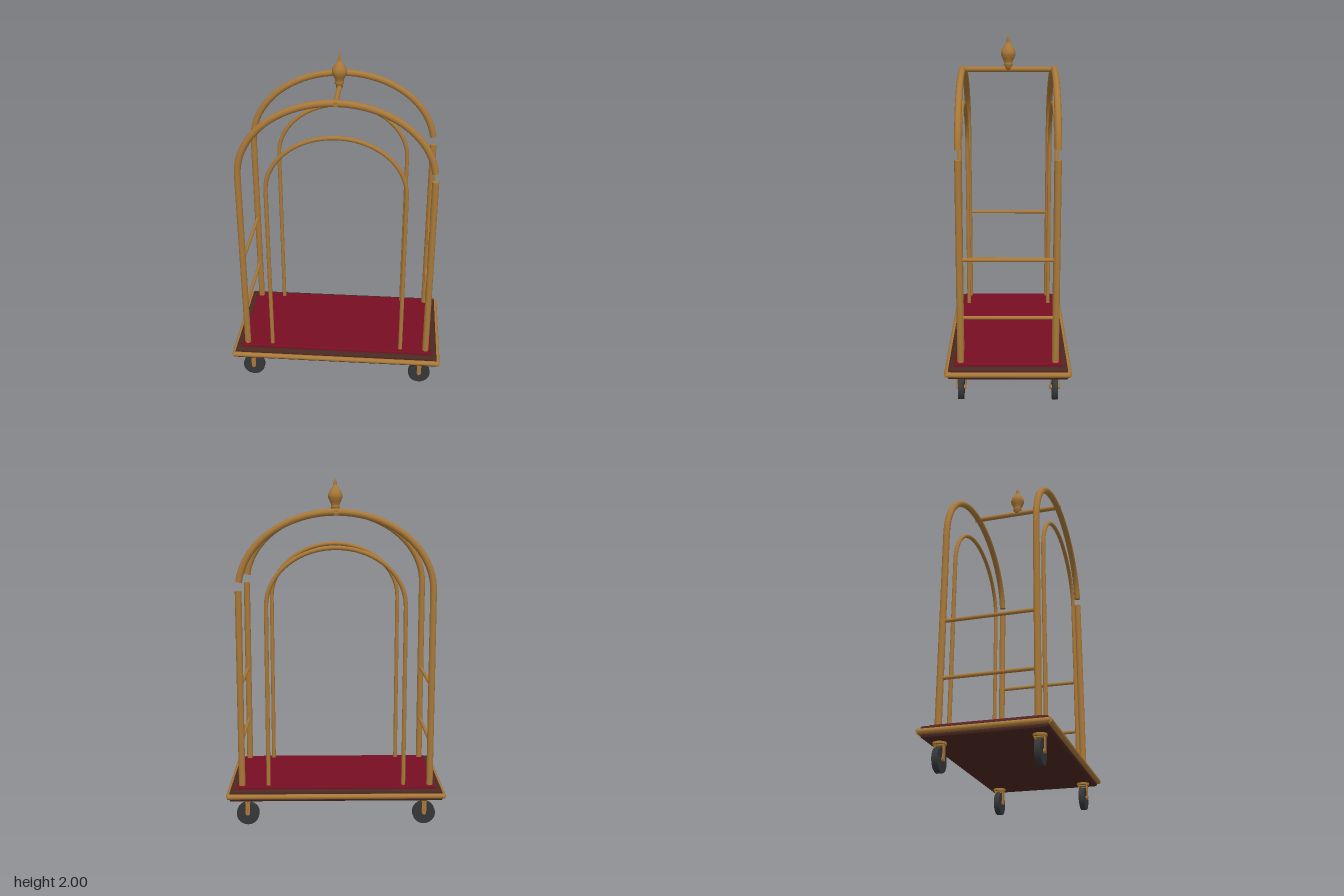
import * as THREE from 'three';

const mat = (name, color) => Object.assign(new THREE.MeshStandardMaterial({ color }), { name });

export function createModel() {
  const brass = mat('brass', 0xa87838);
  const wood = mat('dark wood', 0x4c2822);
  const carpet = mat('red carpet', 0x780e23);
  const rubber = mat('rubber', 0x343638);

  const cart = new THREE.Group();
  cart.name = 'luggageCart';

  const add = (name, geometry, material, parent = cart) => {
    const mesh = new THREE.Mesh(geometry, material);
    mesh.name = name;
    parent.add(mesh);
    return mesh;
  };

  // Straight round bar between two points
  const bar = (name, a, b, radius, parent = cart, sides = 12) => {
    const from = new THREE.Vector3(...a), to = new THREE.Vector3(...b);
    const dir = to.clone().sub(from);
    const mesh = add(name, new THREE.CylinderGeometry(radius, radius, dir.length(), sides), brass, parent);
    mesh.position.copy(from).add(to).multiplyScalar(0.5);
    mesh.quaternion.setFromUnitVectors(new THREE.Vector3(0, 1, 0), dir.normalize());
    return mesh;
  };

  // Slab with bevelled edges, lying flat
  const slab = (name, hx, hz, y0, y1, bevel, material) => {
    const x = hx - bevel, z = hz - bevel;
    const shape = new THREE.Shape([[-x, -z], [x, -z], [x, z], [-x, z]].map(p => new THREE.Vector2(...p)));
    const geometry = new THREE.ExtrudeGeometry(shape, {
      depth: y1 - y0 - 2 * bevel, bevelSize: bevel, bevelThickness: bevel, bevelSegments: 2,
    });
    geometry.rotateX(-Math.PI / 2).translate(0, y0 + bevel, 0);
    return add(name, geometry, material);
  };

  // Deck with carpet and brass bumper rails
  slab('deck', 0.615, 0.33, 0.157, 0.222, 0.012, wood);
  slab('carpet', 0.578, 0.297, 0.215, 0.236, 0.007, carpet);
  for (const s of [-1, 1]) {
    bar('longBumper', [-0.627, 0.19, s * 0.337], [0.627, 0.19, s * 0.337], 0.015);
    bar('endBumper', [s * 0.62, 0.19, -0.34], [s * 0.62, 0.19, 0.34], 0.015);
  }

  // Half-ellipse tube from the -x post over to the angle given at the +x end
  const archTube = (rx, ry, y, z, radius, endAngle) => {
    const points = [];
    for (let i = 0; i <= 32; i++) {
      const t = Math.PI + (endAngle - Math.PI) * i / 32;
      points.push(new THREE.Vector3(rx * Math.cos(t), y + ry * Math.sin(t), z));
    }
    return new THREE.TubeGeometry(new THREE.CatmullRomCurve3(points), 48, radius, 12);
  };

  // Outer and inner arches on the front and back
  const outerX = 0.547, innerX = 0.393, sideZ = 0.263, gap = 0.115;
  for (const z of [-sideZ, sideZ]) {
    for (const s of [-1, 1]) {
      bar('outerPost', [s * outerX, 0.225, z], [s * outerX, 1.37, z], 0.019);
      bar('innerPost', [s * innerX, 0.225, z], [s * innerX, 1.28, z], 0.012);
    }
    add('outerArch', archTube(outerX, 0.435, 1.37, z, 0.019, gap), brass);
    add('innerArch', archTube(innerX, 0.33, 1.28, z, 0.012, 0), brass);
    // Cap on the free end of the outer arch
    const cap = add('archEndCap', new THREE.CircleGeometry(0.019, 12), brass);
    cap.position.set(outerX * Math.cos(gap), 1.37 + 0.435 * Math.sin(gap), z);
    cap.lookAt(cap.position.x + outerX * Math.sin(gap), cap.position.y - 0.435 * Math.cos(gap), z);
  }

  // Crossbars between the front and back frames
  for (const s of [-1, 1]) {
    for (const y of [0.495, 0.825]) {
      bar('sideRail', [s * outerX, y, -sideZ], [s * outerX, y, sideZ], 0.0105);
    }
  }
  bar('topRail', [0, 1.805, -0.283], [0, 1.805, 0.283], 0.0145);

  // Finial
  const profile = [[0, 1.803], [0.018, 1.803], [0.02, 1.822], [0.027, 1.83], [0.025, 1.838], [0.024, 1.848],
    [0.032, 1.865], [0.041, 1.885], [0.042, 1.9], [0.037, 1.918], [0.024, 1.938], [0.012, 1.952],
    [0.009, 1.962], [0.009, 1.975], [0.005, 1.99], [0, 2]];
  add('finial', new THREE.LatheGeometry(profile.map(p => new THREE.Vector2(...p)), 20), brass);

  // Casters
  for (const x of [-0.515, 0.515]) {
    for (const z of [-sideZ, sideZ]) {
      const caster = new THREE.Group();
      caster.name = 'caster';
      caster.position.set(x, 0, z);
      cart.add(caster);
      const wheel = add('wheel', new THREE.CylinderGeometry(0.066, 0.066, 0.032, 24), rubber, caster);
      wheel.rotation.x = Math.PI / 2;
      wheel.position.y = 0.066;
      bar('swivelPlate', [0, 0.145, 0], [0, 0.16, 0], 0.037, caster, 16);
      for (const s of [-1, 1]) {
        const fork = add('forkArm', new THREE.BoxGeometry(0.026, 0.078, 0.006), brass, caster);
        fork.position.set(0, 0.108, s * 0.024);
      }
      bar('axle', [0, 0.07, -0.028], [0, 0.07, 0.028], 0.012, caster);
      const crown = add('forkCrown', new THREE.BoxGeometry(0.03, 0.008, 0.054), brass, caster);
      crown.position.y = 0.143;
    }
  }
  return cart;
}
